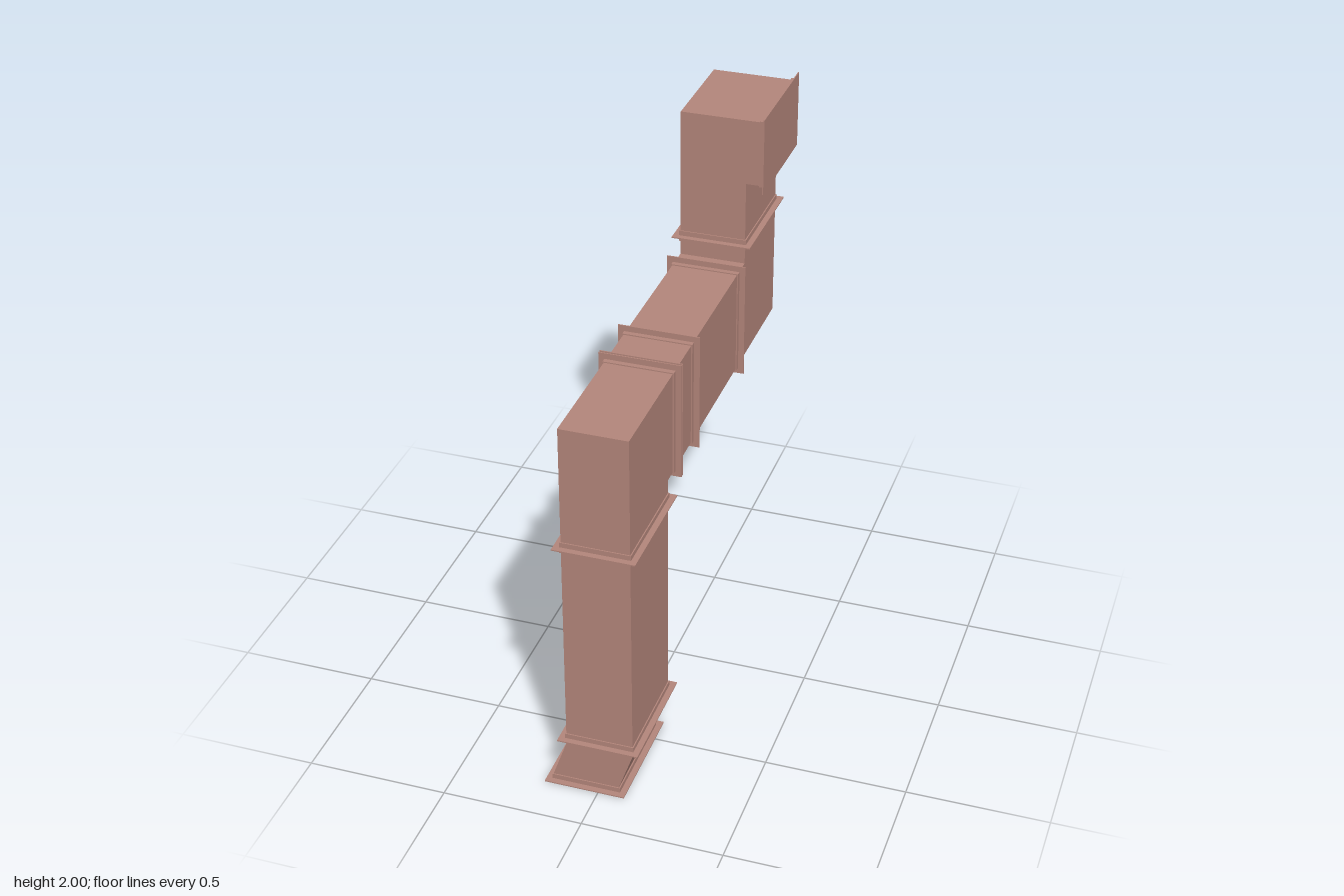
import * as THREE from 'three';

const HALF_W = 0.119; // half of the duct's narrow side
const HALF_D = 0.19;  // half of the duct's wide side
const RIM = 0.025;    // how far flanges stand out
const MID = 0.62;     // z offset of both vertical runs
const RUN_Y = 1.24;   // centre height of the horizontal run

export function createModel() {
  const model = new THREE.Group();
  model.name = 'ventilationDuct';
  const material = new THREE.MeshStandardMaterial({ color: 0xb5877c, flatShading: true });

  const add = (name, geometry, x = 0, y = 0, z = 0, parent = model) => {
    const mesh = new THREE.Mesh(geometry, material);
    mesh.name = name;
    mesh.position.set(x, y, z);
    parent.add(mesh);
    return mesh;
  };

  // Prism with the given outline, centred on its extrusion axis
  const prism = (points, depth) => {
    const shape = new THREE.Shape(points.map(([u, v]) => new THREE.Vector2(u, v)));
    return new THREE.ExtrudeGeometry(shape, { depth, bevelEnabled: false }).translate(0, 0, -depth / 2);
  };
  // Same prism with the outline given in (z, y) and extruded across x
  const sidePrism = (points, depth) => prism(points, depth).rotateY(-Math.PI / 2);

  // Flange: thin plate across the duct with a short collar hugging it.
  // 'sides' lists the directions along the axis that carry a collar.
  const flange = (name, axis, x, y, z, sides = [-1, 1]) => {
    const group = new THREE.Group();
    group.name = name;
    group.position.set(x, y, z);
    const sizes = {
      x: [0, 2 * HALF_W, 2 * HALF_D],
      y: [2 * HALF_W, 0, 2 * HALF_D],
      z: [2 * HALF_W, 2 * HALF_D, 0],
    }[axis];
    const plate = (grow, thick) => new THREE.BoxGeometry(...sizes.map(s => (s ? s + 2 * grow : thick)));
    add('flangePlate', plate(RIM, 0.004), 0, 0, 0, group);
    for (const side of sides) {
      const collar = add('flangeCollar', plate(0.004, 0.018), 0, 0, 0, group);
      collar.position[axis] = side * 0.011;
    }
    model.add(group);
  };

  // Slanted foot that shifts the duct sideways
  add('offsetFoot', prism([
    [-0.169, 0.002], [0.069, 0.002], [0.069, 0.025], [HALF_W, 0.17],
    [HALF_W, 0.19], [-HALF_W, 0.19], [-HALF_W, 0.17], [-0.169, 0.025],
  ], 2 * HALF_D), 0, 0, MID);

  // Straight runs
  add('frontRiser', new THREE.BoxGeometry(2 * HALF_W, 0.79, 2 * HALF_D), 0, 0.585, MID);
  add('shortRun', new THREE.BoxGeometry(2 * HALF_W, 2 * HALF_D, 0.19), 0, RUN_Y, 0.26);
  add('longRun', new THREE.BoxGeometry(2 * HALF_W, 2 * HALF_D, 0.52), 0, RUN_Y, -0.095);

  // Square elbows
  const low = RUN_Y - HALF_D, high = RUN_Y + HALF_D;
  const inner = MID - HALF_D, outer = MID + HALF_D;
  add('frontElbow', sidePrism([
    [inner, 0.98], [outer, 0.98], [outer, high], [0.355, high], [0.355, low], [inner, low],
  ], 2 * HALF_W));
  add('backElbow', sidePrism([
    [-0.355, low], [-0.355, high], [-inner, high], [-inner, 1.503], [-outer, 1.503], [-outer, low],
  ], 2 * HALF_W));
  add('topElbow', prism([
    [-HALF_W, 1.503], [HALF_W, 1.503], [HALF_W, 1.74], [0.185, 1.74], [0.185, 1.979], [-HALF_W, 1.979],
  ], 2 * HALF_D), 0, 0, -MID);

  // Flanges at every joint and at both ends
  flange('footFlange', 'y', -0.05, 0.002, MID, [1]);
  for (const y of [0.192, 0.98]) flange('riserFlange', 'y', 0, y, MID);
  flange('runFlange', 'z', 0, RUN_Y, 0.358, [1]);
  flange('runFlange', 'z', 0, RUN_Y, 0.346, [-1]);
  for (const z of [0.163, -0.357]) flange('runFlange', 'z', 0, RUN_Y, z);
  flange('backRiserFlange', 'y', 0, 1.503, -MID);

  // Outlet flange on the left end of the top elbow
  add('outletFlange', new THREE.BoxGeometry(0.004, 0.28, 2 * (HALF_D + RIM)), 0.186, 1.86, -MID);
  add('outletCollar', new THREE.BoxGeometry(0.018, 0.247, 2 * HALF_D + 0.008), 0.175, 1.86, -MID);

  return model;
}
